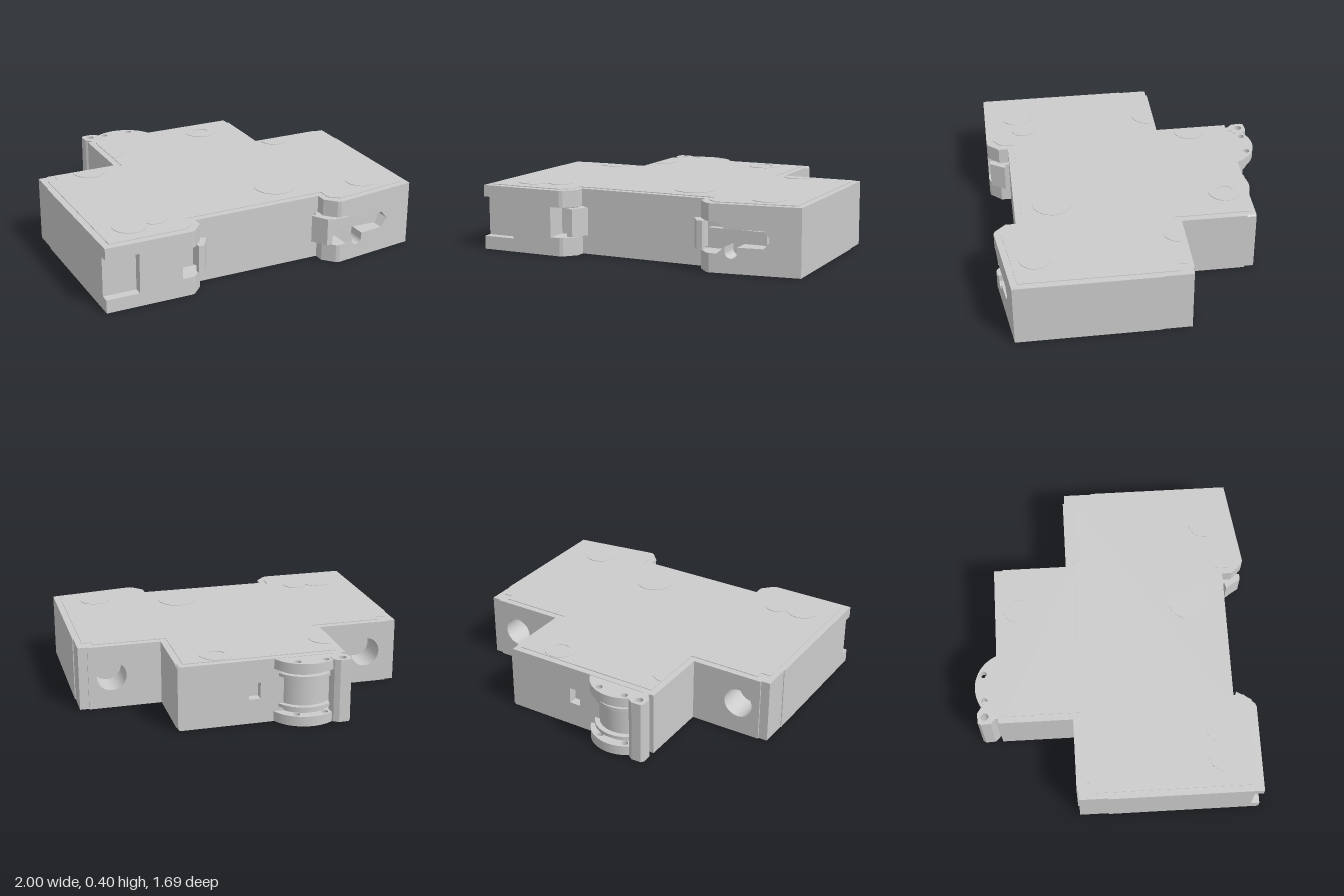
import * as THREE from 'three';

const H = 0.39;

export function createModel() {
  const group = new THREE.Group();
  const mat = new THREE.MeshStandardMaterial({ color: 0xcccccc, side: THREE.DoubleSide });

  const add = (name, geo) => {
    const m = new THREE.Mesh(geo, mat);
    m.name = name;
    group.add(m);
    return m;
  };
  const box = (name, x0, x1, y0, y1, z0, z1) => {
    const g = new THREE.BoxGeometry(x1 - x0, y1 - y0, z1 - z0);
    g.translate((x0 + x1) / 2, (y0 + y1) / 2, (z0 + z1) / 2);
    return add(name, g);
  };
  const polygon = (pts) => new THREE.Shape(pts.map(([a, b]) => new THREE.Vector2(a, b)));
  const plan = (pts) => polygon(pts.map(([x, z]) => [x, -z]));
  const circle = (x, y, r) => new THREE.Path().absarc(x, y, r, 0, Math.PI * 2, true);
  // plan outline (x, z) raised from y0 to y1
  const upright = (name, shape, y0, y1) => {
    const g = new THREE.ExtrudeGeometry(shape, { depth: y1 - y0, bevelEnabled: false, curveSegments: 24 });
    g.rotateX(-Math.PI / 2);
    g.translate(0, y0, 0);
    return add(name, g);
  };
  // front outline (x, y) running from z0 to z1; slope tilts the front face
  const facing = (name, shape, z0, z1, slope = 0, xStart = 0) => {
    const g = new THREE.ExtrudeGeometry(shape, { depth: z1 - z0, bevelEnabled: false, curveSegments: 24 });
    g.translate(0, 0, z0);
    const p = g.attributes.position;
    for (let i = 0; i < p.count; i++) {
      if (p.getZ(i) > z1 - 1e-4) p.setZ(i, z1 - (p.getX(i) - xStart) * slope);
    }
    g.computeVertexNormals();
    return add(name, g);
  };

  // Housing core
  upright('housingCore', plan([
    [-1, 0.71], [1, 0.71], [1, -0.08], [0.5, -0.08], [0.5, -0.66],
    [-0.5, -0.66], [-0.5, -0.08], [-1, -0.08],
  ]), 0, H);

  // Rear wall of the raised middle, with a small indicator window
  const rear = polygon([[-0.5, 0], [0.49, 0], [0.5, 0.01], [0.5, H - 0.01], [0.49, H], [-0.5, H]]);
  rear.holes.push(polygon([[0.01, 0.15], [0.01, 0.25], [0.08, 0.25], [0.08, 0.15]]));
  facing('rearWall', rear, -0.715, -0.66);

  // Terminal blocks with round screw holes
  for (const s of [-1, 1]) {
    const t = polygon([[s * 0.5, 0], [s * 0.94, 0], [s * 0.94, H], [s * 0.5, H]]);
    t.holes.push(circle(s * 0.8, 0.2, 0.09));
    facing('terminalBlock', t, -0.265, -0.08);
    box('terminalCorner', Math.min(s * 0.94, s * 0.995), Math.max(s * 0.94, s * 0.995), 0, H, -0.255, -0.08);
  }

  // Front foot on the right, with label pocket and clip slot
  facing('rightFoot', polygon([
    [-1, 0], [-0.48, 0], [-0.48, 0.11], [-0.54, 0.11], [-0.54, 0.29], [-0.48, 0.29],
    [-0.48, H], [-1, H], [-1, 0.32], [-0.8, 0.32], [-0.8, 0.08], [-1, 0.08],
  ]), 0.71, 0.843);
  box('pocketFloor', -1, -0.8, 0.08, 0.32, 0.71, 0.79);

  // Front foot on the left, sloping, with a lever slot
  const slot = new THREE.Shape();
  slot.moveTo(0.48, 0);
  slot.lineTo(1, 0);
  slot.lineTo(1, H);
  slot.lineTo(0.48, H);
  for (const [x, y] of [[0.48, 0.29], [0.52, 0.29], [0.57, 0.25], [0.79, 0.25], [0.835, 0.2], [0.79, 0.15], [0.642, 0.15], [0.642, 0.12]]) slot.lineTo(x, y);
  slot.absarc(0.607, 0.12, 0.035, 0, -Math.PI, true);
  slot.lineTo(0.572, 0.15);
  slot.lineTo(0.525, 0.11);
  slot.lineTo(0.48, 0.11);
  facing('leftFoot', slot, 0.71, 0.843, 0.14, 0.48);
  box('clipLever', 0.44, 0.79, 0.165, 0.235, 0.71, 0.75);

  // Chamfered foot ends and rail clips on both sides
  for (const s of [-1, 1]) {
    for (const [y0, y1] of [[0, 0.11], [0.29, H]]) {
      upright('footChamfer', plan([[s * 0.48, 0.71], [s * 0.48, 0.843], [s * 0.46, 0.835], [s * 0.4, 0.77], [s * 0.4, 0.71]]), y0, y1);
    }
    upright('railClip', plan([
      [s * 0.42, 0.7], [s * 0.38, 0.7], [s * 0.38, 0.73], [s * 0.345, 0.74],
      [s * 0.4, 0.83], [s * 0.435, 0.83], [s * 0.435, 0.8], [s * 0.4, 0.76],
    ]), 0.12, 0.285);
  }

  // Cover plate, slightly proud of the rim
  upright('coverPlate', plan([
    [-0.96, 0.8], [-0.5, 0.8], [-0.44, 0.75], [-0.44, 0.67], [0.44, 0.67], [0.44, 0.75], [0.5, 0.8],
    [0.96, 0.735], [0.96, -0.18], [0.9, -0.18], [0.9, -0.225], [0.46, -0.225], [0.46, -0.675],
    [-0.46, -0.675], [-0.46, -0.225], [-0.9, -0.225], [-0.9, -0.18], [-0.96, -0.18],
  ]), H - 0.01, H + 0.004);

  // Round bosses on the cover: x, z, radius
  for (const [x, z, r] of [[0.23, 0.48, 0.12], [0.75, 0.62, 0.095], [-0.77, 0.63, 0.1], [-0.61, 0.6, 0.075]]) {
    const g = new THREE.CylinderGeometry(r, r, 0.01, 40);
    g.translate(x, H + 0.002, z);
    add('coverBoss', g);
  }
  // Half bosses along the cover edge: x, z, radius, start angle
  for (const [x, z, r, a] of [[-0.68, -0.225, 0.1, -Math.PI / 2], [0.61, -0.225, 0.09, -Math.PI / 2], [-0.46, -0.47, 0.1, 0]]) {
    const g = new THREE.CylinderGeometry(r, r, 0.01, 24, 1, false, a, Math.PI);
    g.translate(x, H + 0.002, z);
    add('edgeBoss', g);
  }
  const ring = new THREE.Shape().absarc(0.24, 0.57, 0.1, 0, Math.PI * 2);
  ring.holes.push(circle(0.24, 0.57, 0.05));
  upright('rivetRing', ring, H, H + 0.007);

  // Toggle drum: two flanges with small holes and a narrower core
  const a0 = Math.asin(0.07 / 0.216);
  for (const y0 of [0.003, H - 0.062]) {
    const f = new THREE.Shape().absarc(-0.27, 0.634, 0.216, a0, Math.PI - a0);
    for (const x of [-0.355, -0.185]) f.holes.push(circle(x, 0.795, 0.02));
    upright('toggleFlange', f, y0, y0 + 0.06);
  }
  const drum = new THREE.CylinderGeometry(0.17, 0.17, 0.28, 40);
  drum.translate(-0.27, 0.195, -0.62);
  add('toggleDrum', drum);
  for (const y of [0.1, 0.29]) {
    const g = new THREE.CylinderGeometry(0.19, 0.19, 0.02, 40);
    g.translate(-0.27, y, -0.634);
    add('drumRib', g);
  }

  // Toggle handle with a through hole
  const handle = plan([
    [-0.47, -0.7], [-0.47, -0.73], [-0.5, -0.76], [-0.503, -0.82], [-0.49, -0.838], [-0.43, -0.84],
    [-0.4, -0.82], [-0.39, -0.8], [-0.39, -0.76], [-0.43, -0.74], [-0.43, -0.7],
  ]);
  handle.holes.push(circle(-0.455, 0.795, 0.023));
  upright('toggleHandle', handle, 0.005, H);

  return group;
}
